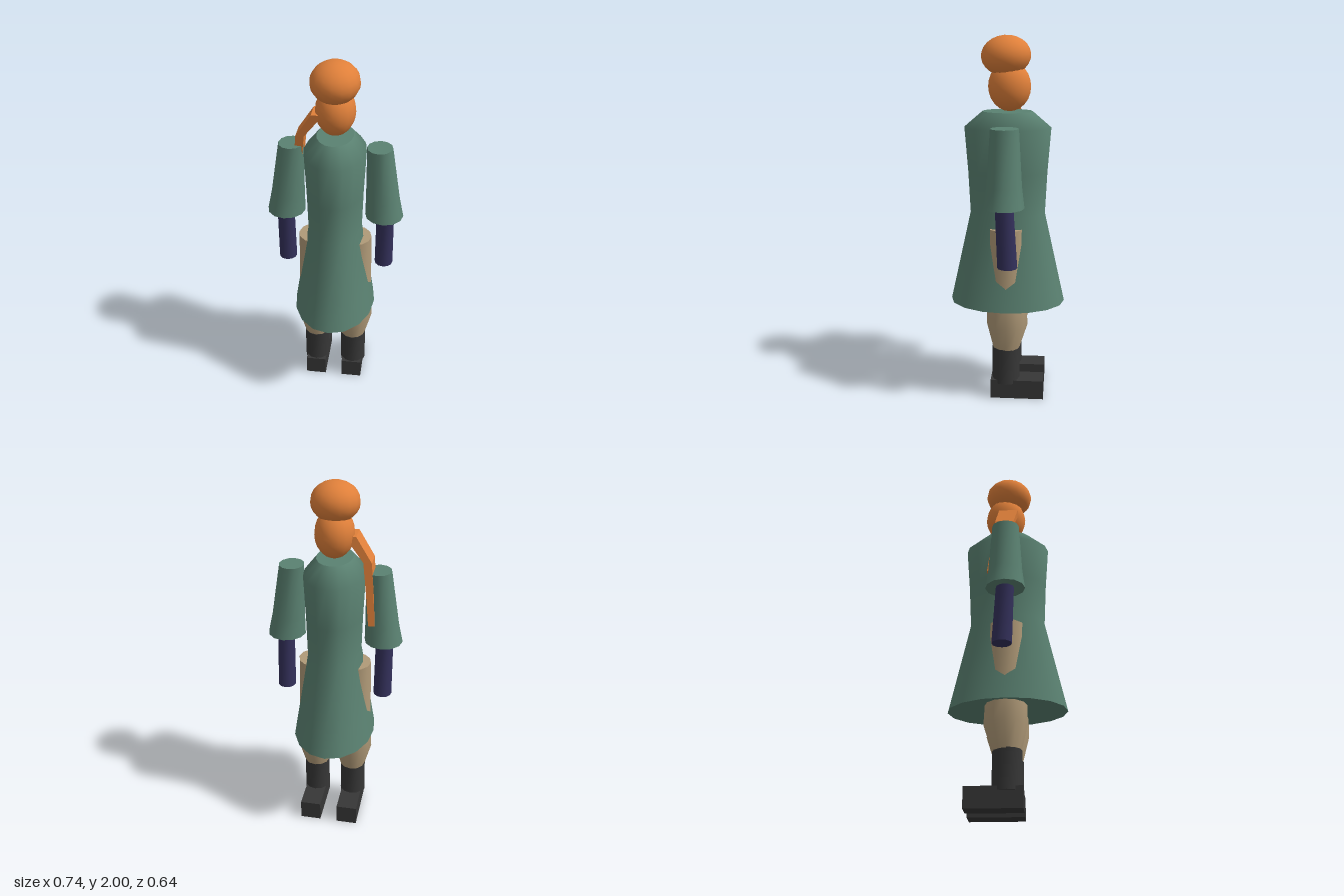
import * as THREE from 'three';

// Closed loft through elliptical rings [x, y, z, rx, rz], listed bottom to top
function loft(rings, sides = 16, turn = 0) {
  const pos = [], idx = [];
  const addRing = ([x, y, z, rx, rz]) => {
    const start = pos.length / 3;
    for (let i = 0; i < sides; i++) {
      const a = turn + (i / sides) * Math.PI * 2;
      pos.push(x + Math.cos(a) * rx, y, z + Math.sin(a) * rz);
    }
    return start;
  };
  const starts = rings.map(addRing);
  for (let r = 0; r < rings.length - 1; r++) {
    for (let i = 0; i < sides; i++) {
      const j = (i + 1) % sides;
      const a = starts[r] + i, b = starts[r] + j, c = starts[r + 1] + i, d = starts[r + 1] + j;
      idx.push(a, c, b, b, c, d);
    }
  }
  // end caps use their own vertices so the rims stay sharp
  [[rings[0], false], [rings[rings.length - 1], true]].forEach(([ring, top]) => {
    const s = addRing(ring);
    for (let i = 1; i < sides - 1; i++) {
      if (top) idx.push(s, s + i + 1, s + i);
      else idx.push(s, s + i, s + i + 1);
    }
  });
  const g = new THREE.BufferGeometry();
  g.setAttribute('position', new THREE.Float32BufferAttribute(pos, 3));
  g.setIndex(idx);
  g.computeVertexNormals();
  return g;
}

export function createModel() {
  const model = new THREE.Group();
  model.name = 'figure';

  const mat = (name, color) => {
    const m = new THREE.MeshStandardMaterial({ color });
    m.name = name;
    return m;
  };
  const green = mat('tunicGreen', 0x5a8171);
  const orange = mat('hairOrange', 0xe0803a);
  const tan = mat('trouserTan', 0xb09a78);
  const navy = mat('gloveNavy', 0x33305a);
  const black = mat('bootBlack', 0x363636);

  const add = (name, geometry, material, parent = model) => {
    const mesh = new THREE.Mesh(geometry, material);
    mesh.name = name;
    parent.add(mesh);
    return mesh;
  };

  // Long flared tunic
  add('tunic', loft([
    [0, 0.54, 0, 0.228, 0.319],
    [0, 0.70, 0, 0.202, 0.283],
    [0, 1.05, 0, 0.146, 0.205],
    [0, 1.28, 0, 0.152, 0.216],
    [0, 1.52, 0, 0.163, 0.234],
    [0, 1.605, 0, 0.096, 0.135],
  ]), green);

  // Head and hair bun
  const head = add('head', new THREE.SphereGeometry(1, 16, 12), orange);
  head.scale.set(0.104, 0.13, 0.114);
  head.position.set(0, 1.735, -0.01);
  const hair = add('hair', new THREE.SphereGeometry(1, 16, 12), orange);
  hair.scale.set(0.127, 0.105, 0.132);
  hair.position.set(0, 1.895, 0.009);
  hair.rotation.x = 0.08;

  // Flat side ponytail hanging behind the right shoulder
  const k = Math.SQRT2;
  add('ponytail', loft([
    [-0.21, 1.27, -0.055, 0.016 * k, 0.046 * k],
    [-0.195, 1.45, -0.03, 0.02 * k, 0.048 * k],
    [-0.178, 1.605, -0.008, 0.022 * k, 0.052 * k],
    [-0.085, 1.735, 0.01, 0.03 * k, 0.054 * k],
  ], 4, Math.PI / 4).toNonIndexed(), orange).geometry.computeVertexNormals();

  for (const [side, s] of [['left', 1], ['right', -1]]) {
    // Arm: wide sleeve over a slim forearm
    const arm = new THREE.Group();
    arm.name = side + 'Arm';
    model.add(arm);
    add('sleeve', loft([
      [s * 0.266, 1.14, 0, 0.103, 0.106],
      [s * 0.255, 1.25, 0, 0.09, 0.092],
      [s * 0.231, 1.545, 0, 0.067, 0.074],
    ], 12), green, arm);
    add('forearm', loft([
      [s * 0.272, 0.817, -0.017, 0.05, 0.053],
      [s * 0.272, 1.16, 0, 0.047, 0.048],
    ], 12), navy, arm);

    // Leg: baggy trouser, boot shaft and block foot
    const leg = new THREE.Group();
    leg.name = side + 'Leg';
    model.add(leg);
    add('trouser', loft([
      [s * 0.107, 0.295, 0, 0.072, 0.075],
      [s * 0.109, 0.435, -0.005, 0.108, 0.114],
      [s * 0.109, 0.56, -0.003, 0.1, 0.109],
      [s * 0.111, 0.99, 0, 0.09, 0.095],
    ], 12), tan, leg);
    add('bootShaft', loft([
      [s * 0.108, 0.09, 0.002, 0.073, 0.077],
      [s * 0.108, 0.3, 0.003, 0.072, 0.076],
    ], 12), black, leg);
    const foot = add('foot', new THREE.BoxGeometry(0.116, 0.11, 0.296), black, leg);
    foot.position.set(s * 0.107, 0.055, -0.063);
  }
  return model;
}
